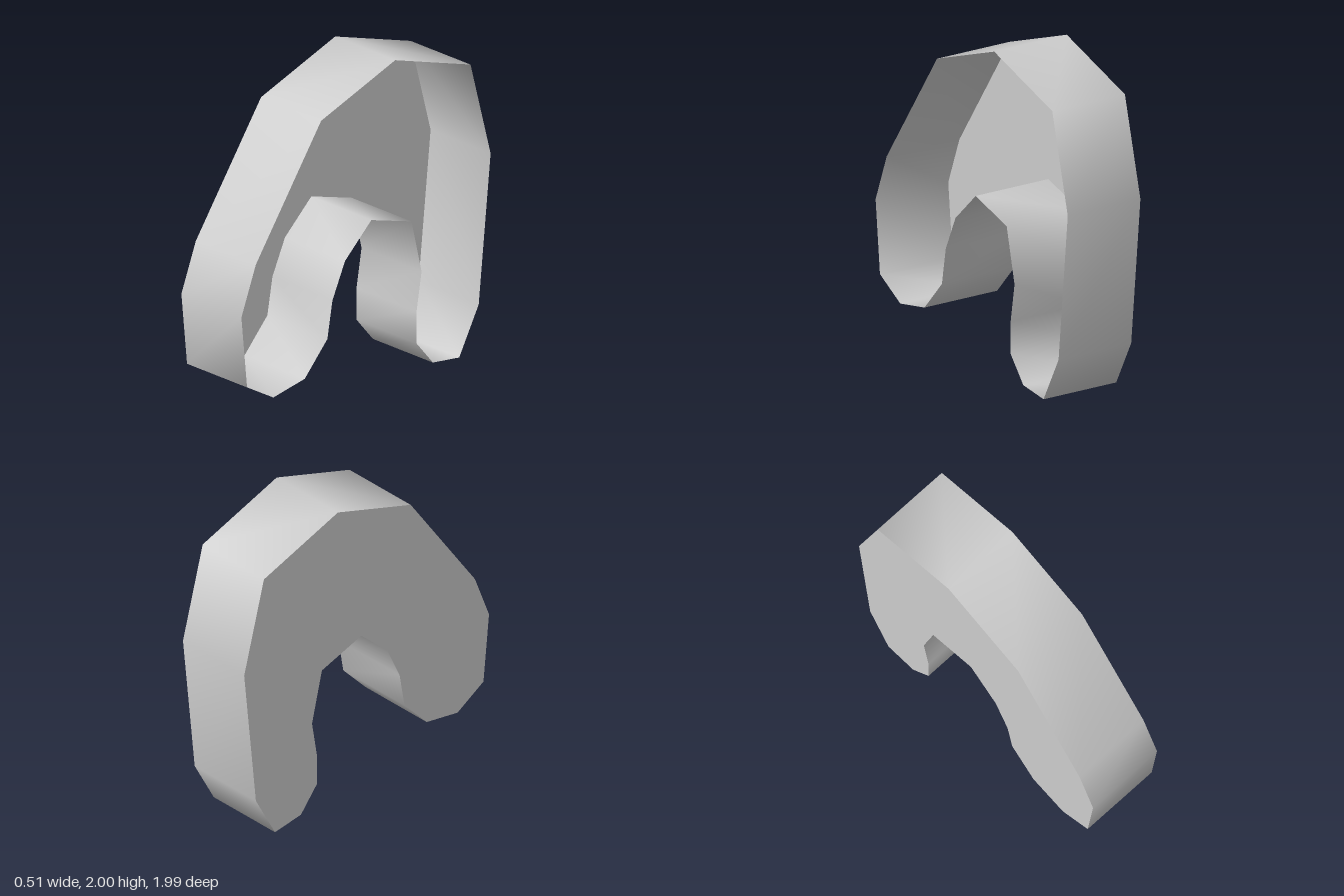
import * as THREE from 'three';

const HALF_WIDTH = 0.256;

// Arch outline as [z, y], from the top, down the front leg, under the arch and up the back
const OUTLINE = [
  [-0.23, 2.0], [0.36, 1.78], [0.88, 1.02], [0.995, 0.72], [0.95, 0.27],
  [0.74, 0.15], [0.49, 0.2], [0.31, 0.4], [0.27, 0.63], [0.17, 0.85],
  [-0.04, 1.05], [-0.36, 0.955], [-0.44, 0.62], [-0.4, 0.38], [-0.4, 0.18],
  [-0.53, 0.025], [-0.74, 0.0], [-0.895, 0.29], [-0.99, 1.21], [-0.83, 1.81],
];

// Closed band across the width following the outline, with smooth shared normals
function bandGeometry() {
  const positions = [];
  const indices = [];
  const n = OUTLINE.length;
  OUTLINE.forEach(([z, y], i) => {
    positions.push(-HALF_WIDTH, y, z, HALF_WIDTH, y, z);
    const a = 2 * i;
    const b = 2 * ((i + 1) % n);
    indices.push(a, b, a + 1, a + 1, b, b + 1);
  });
  const geometry = new THREE.BufferGeometry();
  geometry.setAttribute('position', new THREE.Float32BufferAttribute(positions, 3));
  geometry.setIndex(indices);
  geometry.computeVertexNormals();
  return geometry;
}

export function createModel() {
  const group = new THREE.Group();
  group.name = 'hollowArch';
  const material = new THREE.MeshStandardMaterial({ color: 0xcccccc, side: THREE.DoubleSide });

  // Rim wall all around the arch
  const rim = new THREE.Mesh(bandGeometry(), material);
  rim.name = 'rimWall';
  group.add(rim);

  // Flat side panel closing the -x side; the +x side stays open
  const shape = new THREE.Shape(OUTLINE.map(([z, y]) => new THREE.Vector2(z, y)));
  const panel = new THREE.Mesh(new THREE.ShapeGeometry(shape), material);
  panel.name = 'sidePanel';
  panel.rotation.y = -Math.PI / 2;
  panel.position.x = -HALF_WIDTH;
  group.add(panel);

  return group;
}
